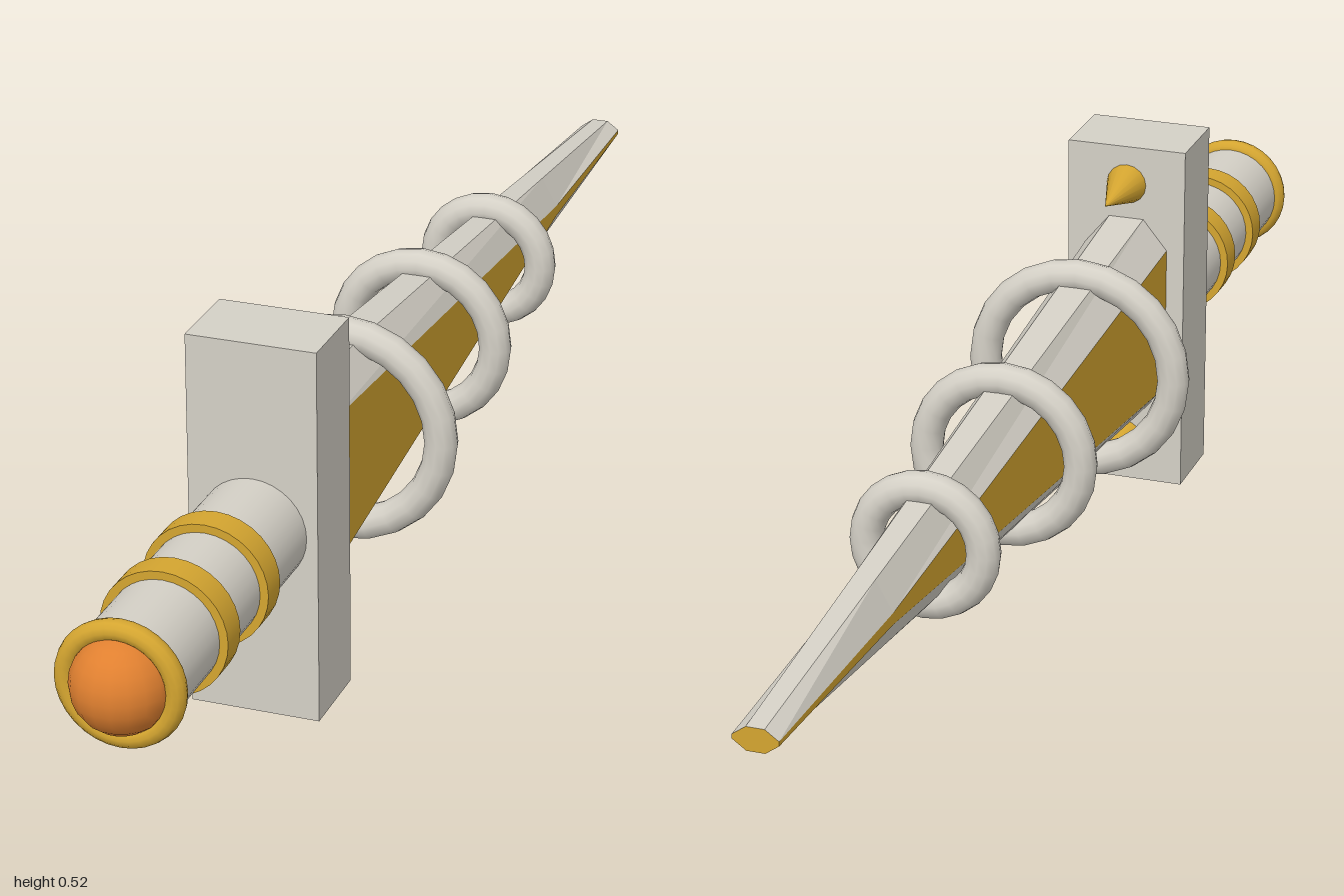
import * as THREE from 'three';

const steel = new THREE.MeshStandardMaterial({ color: 0xd4d0c6 });
steel.name = 'pale steel';
const gold = new THREE.MeshStandardMaterial({ color: 0xd4a530 });
gold.name = 'gold';
const amber = new THREE.MeshStandardMaterial({ color: 0xe08030 });
amber.name = 'amber';

const AXIS = 0.26; // height of the long axis

function add(group, name, geometry, material, y, z) {
  const mesh = new THREE.Mesh(geometry, material);
  mesh.name = name;
  mesh.position.set(0, y, z);
  group.add(mesh);
  return mesh;
}

// Cylinder or cone lying along z, its wide end towards +z
const rod = (rBack, rFront, length, sides = 32) =>
  new THREE.CylinderGeometry(rFront, rBack, length, sides).rotateX(Math.PI / 2);

// Eight-cornered section: half width, half height of side, half width of top, half height
function section({ z, w, side, top, h }) {
  return [[w, -side], [w, side], [top, h], [-top, h], [-w, side], [-w, -side], [-top, -h], [top, -h]]
    .map(([x, y]) => [x, y, z]);
}

function faces(triangles) {
  const geometry = new THREE.BufferGeometry();
  geometry.setAttribute('position', new THREE.Float32BufferAttribute(triangles.flat(), 3));
  geometry.computeVertexNormals();
  return geometry;
}

function buildBlade(group) {
  const rings = [
    { z: 0.4, w: 0.062, side: 0.108, top: 0.026, h: 0.152 },
    { z: -0.65, w: 0.038, side: 0.008, top: 0.015, h: 0.05 },
    { z: -1, w: 0.03, side: 0.003, top: 0.012, h: 0.016 },
  ].map(section);
  const plain = [], gilded = [];
  for (let r = 0; r < rings.length - 1; r++) {
    for (let i = 0; i < 8; i++) {
      const j = (i + 1) % 8;
      const a = rings[r][i], b = rings[r][j], c = rings[r + 1][j], d = rings[r + 1][i];
      (i % 4 === 0 ? gilded : plain).push(a, d, c, a, c, b);
    }
  }
  // Gilded end of the point
  const tip = rings[rings.length - 1];
  for (let i = 1; i < 7; i++) gilded.push(tip[0], tip[i + 1], tip[i]);
  add(group, 'blade', faces(plain), steel, AXIS, 0);
  add(group, 'bladeSidePanels', faces(gilded), gold, AXIS, 0);
}

export function createModel() {
  const model = new THREE.Group();
  model.name = 'ringedSword';

  // Grip with two bands
  add(model, 'grip', rod(0.073, 0.073, 0.44), steel, AXIS, 0.72);
  for (const z of [0.787, 0.653]) add(model, 'gripBand', rod(0.084, 0.084, 0.04), gold, AXIS, z);

  // Pommel
  add(model, 'pommelRing', new THREE.TorusGeometry(0.071, 0.014, 12, 32), gold, AXIS, 0.939);
  add(model, 'pommelGem', new THREE.SphereGeometry(0.064, 18, 12), amber, AXIS, 0.936);

  // Cross guard with spikes pointing along the blade
  add(model, 'guard', new THREE.BoxGeometry(0.176, 0.52, 0.118), steel, AXIS, 0.452);
  for (const y of [0.062, 0.463]) add(model, 'guardSpike', rod(0, 0.03, 0.1, 16), gold, y, 0.345);

  buildBlade(model);

  // Loose rings around the blade, shrinking towards the tip
  for (const [z, radius] of [[0.182, 0.14], [-0.137, 0.11], [-0.437, 0.08]]) {
    add(model, 'bladeRing', new THREE.TorusGeometry(radius, 0.023, 12, 24), steel, AXIS, z);
  }
  return model;
}
